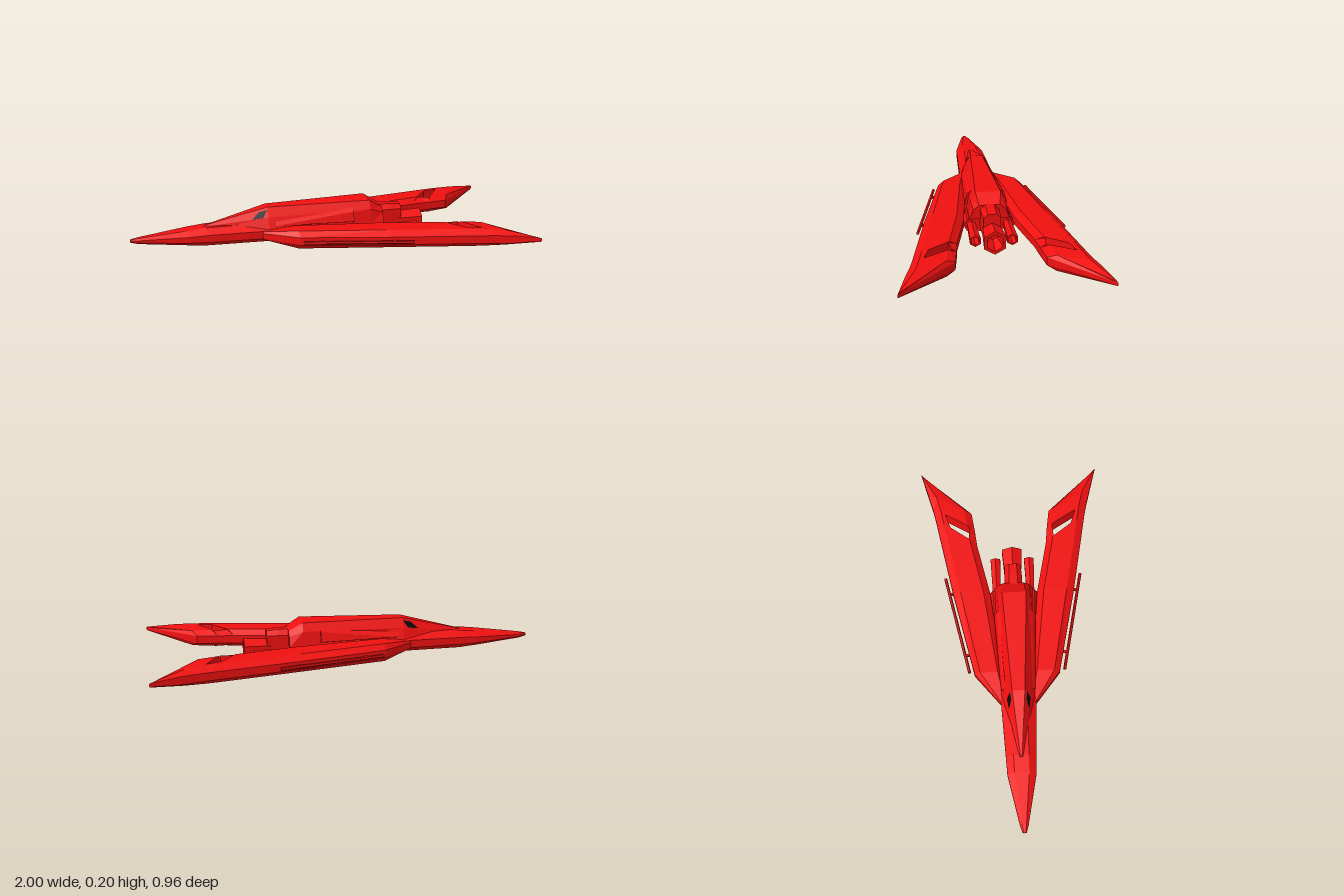
import * as THREE from 'three';

const paint = (color) => new THREE.MeshStandardMaterial({ color, flatShading: true });

// Skin a list of equal-length rings (ordered y -> z, stations towards +x) and cap both ends
function loft(rings) {
  const n = rings[0].length, pos = rings.flat(2), idx = [];
  for (let i = 0; i < rings.length - 1; i++) {
    for (let j = 0; j < n; j++) {
      const a = i * n + j, b = i * n + (j + 1) % n;
      idx.push(a, b, a + n, b, b + n, a + n);
    }
  }
  const last = (rings.length - 1) * n;
  for (let j = 1; j < n - 1; j++) {
    idx.push(0, j + 1, j);
    idx.push(last, last + j, last + j + 1);
  }
  const g = new THREE.BufferGeometry();
  g.setAttribute('position', new THREE.Float32BufferAttribute(pos, 3));
  g.setIndex(idx);
  const flat = g.toNonIndexed();
  flat.computeVertexNormals();
  return flat;
}

// Symmetric ring from half-outline levels [halfWidth, y], top to bottom
const ring = (x, levels) => [
  ...levels.map(([w, y]) => [x, y, w]),
  ...levels.slice().reverse().map(([w, y]) => [x, y, -w]),
];

const MID = 0.065, EDGE = 0.02;
// Point on a wing station: t runs from inner to outer edge, dy is the offset from mid height
const at = (s, t, dy) => [s[0] + (s[2] - s[0]) * t, MID + dy, s[1] + (s[3] - s[1]) * t];
const wingRing = (s) => {
  const h = s[4], e = Math.min(EDGE, h * 0.6);
  return [[0.18, h], [0.8, h], [1, e], [1, -e], [0.8, -h], [0.18, -h], [0, -e], [0, e]]
    .map(([t, dy]) => at(s, t, dy));
};

export function createModel() {
  const root = new THREE.Group();
  const red = paint(0xf01010), black = paint(0x0a0a0a);
  black.side = THREE.DoubleSide;
  const add = (parent, name, geo, mat = red) => {
    const m = new THREE.Mesh(geo, mat);
    m.name = name;
    parent.add(m);
    return m;
  };

  // Faceted lower hull with long nose: x, half width, top, bottom
  const hull = [
    [-1, 0.01, 0.068, 0.054], [-0.96, 0.022, 0.075, 0.046], [-0.71, 0.073, 0.104, 0.027],
    [-0.62, 0.077, 0.113, 0.02], [-0.34, 0.09, 0.118, 0.02], [0.28, 0.1, 0.118, 0.02],
  ];
  add(root, 'hull', loft(hull.map(([x, w, t, b]) => {
    const m = (t + b) / 2, e = (t - b) * 0.2;
    return ring(x, [[w * 0.5, t], [w, m + e], [w, m - e], [w * 0.5, b]]);
  })));

  // Raised cabin and spine
  const cabin = [
    [-0.63, [[0.004, 0.115], [0.01, 0.11], [0.015, 0.09]]],
    [-0.31, [[0.032, 0.197], [0.062, 0.15], [0.086, 0.09]]],
    [0.22, [[0.063, 0.205], [0.088, 0.165], [0.1, 0.09]]],
    [0.29, [[0.052, 0.163], [0.08, 0.14], [0.1, 0.09]]],
  ];
  add(root, 'cabin', loft(cabin.map(([x, l]) => ring(x, l))));

  // Open hexagonal nozzle along +x
  const nozzle = (parent, name, x, y, z, len, r0, r1) => {
    const p = [[r0 * 0.9, 0], [r0, len * 0.15], [r1, len], [r1 * 0.72, len], [r0 * 0.5, len * 0.4], [0, len * 0.4]];
    const g = new THREE.LatheGeometry(p.map(([a, b]) => new THREE.Vector2(a, b)), 6, Math.PI / 6);
    const m = add(parent, name, g);
    m.rotation.z = -Math.PI / 2;
    m.position.set(x, y, z);
  };

  // Main engine housing and nozzle
  add(root, 'engineHousing', loft([[0.22, 1], [0.34, 1], [0.4, 0.93]].map(([x, k]) =>
    ring(x, [[0.022 * k, 0.092 + 0.074 * k], [0.046 * k, 0.14], [0.046 * k, 0.04], [0.015 * k, 0.02]]))));
  nozzle(root, 'mainNozzle', 0.36, 0.062, 0, 0.155, 0.052, 0.061);

  // Everything mirrored in z
  for (const side of [1, -1]) {
    const half = new THREE.Group();
    half.name = side > 0 ? 'halfA' : 'halfB';
    half.scale.z = side;
    root.add(half);

    // Wing stations: inner x, inner z, outer x, outer z, half thickness
    const slotFront = [0.547, 0.185, 0.71, 0.405, 0.046];
    const slotBack = [0.635, 0.195, 0.77, 0.418, 0.045];
    add(half, 'wing', loft([
      [-0.35, 0.06, -0.35, 0.085, 0.02], [-0.18, 0.075, -0.18, 0.22, 0.046],
      [0.27, 0.125, 0.27, 0.32, 0.046], slotFront,
    ].map(wingRing)));
    add(half, 'wingTip', loft([
      slotBack, [0.74, 0.21, 0.86, 0.443, 0.04], [0.985, 0.472, 0.998, 0.482, 0.01],
    ].map(wingRing)));

    // Bars either side of the open slot
    const bars = [[slotFront, 0.2, 0.64], [slotBack, 0.12, 0.7]];
    add(half, 'slotInnerBar', loft(bars.map(([s, t]) =>
      [at(s, 0, EDGE), at(s, t, s[4] * 0.95), at(s, t, -s[4] * 0.95), at(s, 0, -EDGE)])));
    add(half, 'slotOuterBar', loft(bars.map(([s, , t]) => [[t, s[4]], [0.8, s[4]], [1, EDGE],
      [1, -EDGE], [0.8, -s[4]], [t, -s[4]]].map(([u, dy]) => at(s, u, dy)))));

    // Gun rod with two struts beside the leading edge
    const a = new THREE.Vector3(-0.165, MID, 0.246), b = new THREE.Vector3(0.37, MID, 0.36);
    const rod = add(half, 'gunRod', new THREE.CylinderGeometry(0.008, 0.008, a.distanceTo(b), 6));
    rod.position.copy(a).lerp(b, 0.5);
    rod.quaternion.setFromUnitVectors(new THREE.Vector3(0, 1, 0), b.clone().sub(a).normalize());
    for (const t of [0.18, 0.83]) {
      const strut = add(half, 'gunStrut', new THREE.BoxGeometry(0.012, 0.012, 0.04));
      strut.position.copy(a).lerp(b, t);
      strut.position.z -= 0.018;
    }

    // Side engine fairing and nozzle
    const fairing = [[-0.3, 0.02], [-0.05, 0.032], [0.28, 0.036]];
    add(half, 'sideFairing', loft(fairing.map(([x, r]) => Array.from({ length: 6 }, (_, i) => {
      const q = i * Math.PI / 3 + Math.PI / 6;
      return [x, 0.053 + r * Math.cos(q), 0.08 + (x + 0.3) * 0.02 + r * Math.sin(q)];
    }))));
    nozzle(half, 'sideNozzle', 0.26, 0.055, 0.09, 0.21, 0.024, 0.03);

    // Raised panel on the cabin flank
    add(half, 'flankPanel', loft([[-0.28, 0, 0.148], [0.13, 0.022, 0.18]].map(([x, dz, top]) => [
      [x, top, 0.05 + dz], [x, top - 0.02, 0.073 + dz], [x, 0.11, 0.087 + dz], [x, 0.1, 0.06 + dz],
    ])));

    // Slanted dark window on the cabin's front facet
    const [f, r] = cabin, mix = THREE.MathUtils.lerp;
    const win = [[0.75, 1], [0.92, 1], [1, 0.3], [0.87, 0.3]].map(([u, v]) => {
      const lev = (s) => [mix(s[1][0][0], s[1][1][0], v), mix(s[1][0][1], s[1][1][1], v)];
      const p = lev(f), q = lev(r);
      return [mix(f[0], r[0], u) - 0.001, mix(p[1], q[1], u) + 0.002, mix(p[0], q[0], u) + 0.002];
    });
    const g = new THREE.BufferGeometry();
    g.setAttribute('position', new THREE.Float32BufferAttribute(win.flat(), 3));
    g.setIndex([0, 1, 2, 0, 2, 3]);
    g.computeVertexNormals();
    add(half, 'window', g, black);
  }
  return root;
}
